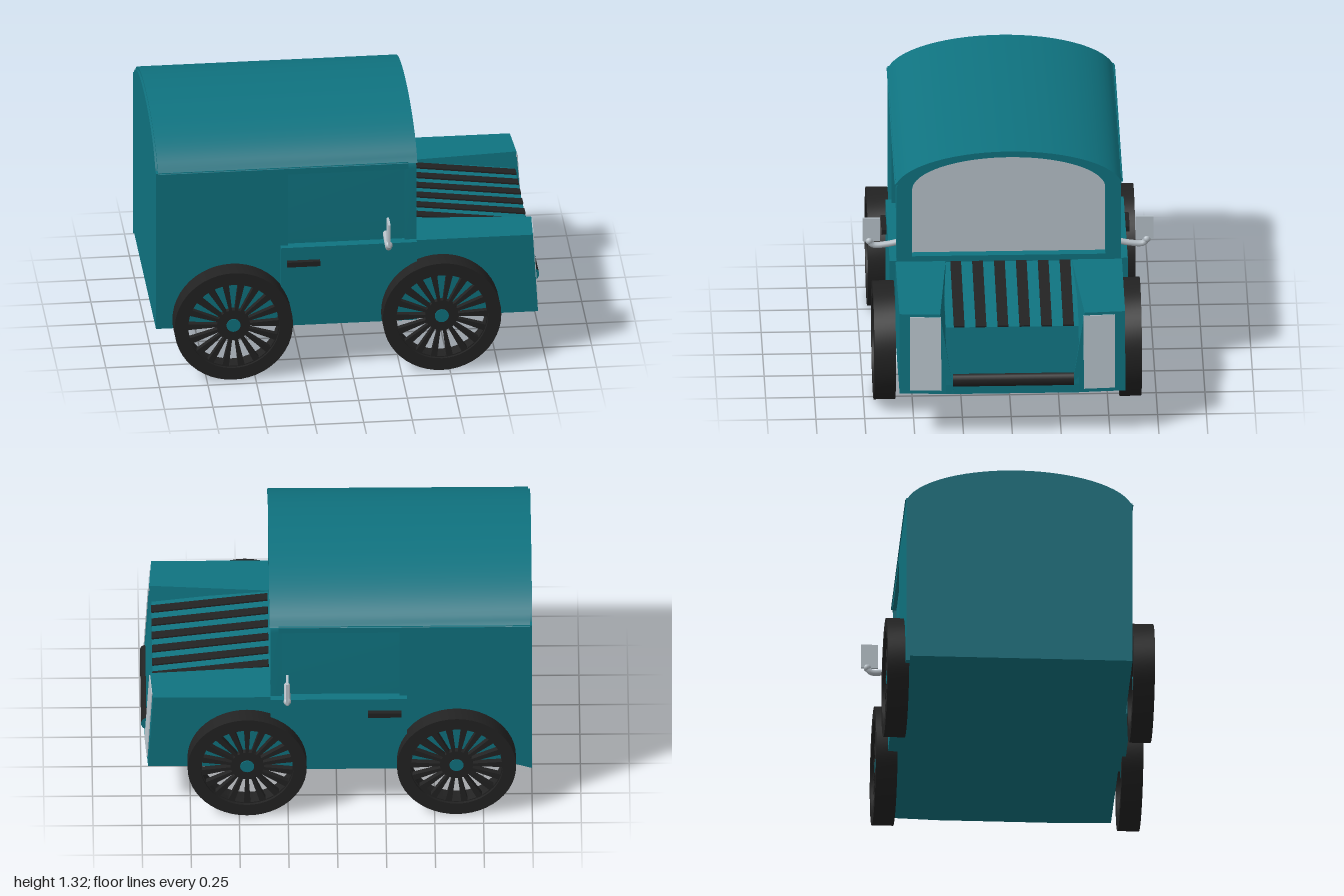
import * as THREE from 'three';
import { toCreasedNormals } from 'three/addons/utils/BufferGeometryUtils.js';
import { ConvexGeometry } from 'three/addons/geometries/ConvexGeometry.js';

export function createModel() {
  const model = new THREE.Group();
  const mat = (name, color) => {
    const m = new THREE.MeshStandardMaterial({ color });
    m.name = name;
    return m;
  };
  const teal = mat('teal paint', 0x0f7380);
  const dark = mat('black rubber', 0x222222);
  const glass = mat('pale glass', 0xb9c4cc);
  const metal = mat('light metal', 0xb4bdc4);

  const add = (name, geometry, material, parent = model) => {
    const mesh = new THREE.Mesh(geometry, material);
    mesh.name = name;
    parent.add(mesh);
    return mesh;
  };
  // Box given by its limits on each axis
  const box = (name, x0, x1, y0, y1, z0, z1, material) => {
    const g = new THREE.BoxGeometry(x1 - x0, y1 - y0, Math.abs(z1 - z0));
    g.translate((x0 + x1) / 2, (y0 + y1) / 2, (z0 + z1) / 2);
    return add(name, g, material);
  };
  // Arch outline: straight sides up to spring, then half an ellipse
  const arch = (Type, half, base, spring, rise) => {
    const s = new Type();
    s.moveTo(-half, base);
    s.lineTo(half, base);
    s.lineTo(half, spring);
    s.absellipse(0, spring, half, rise, 0, Math.PI, false, 0);
    s.closePath();
    return s;
  };
  // Extrude a cross-section along x
  const alongX = (shape, x0, x1) => {
    const g = new THREE.ExtrudeGeometry(shape, { depth: x1 - x0, bevelEnabled: false, curveSegments: 20 });
    g.rotateY(Math.PI / 2).translate(x0, 0, 0);
    return toCreasedNormals(g, 0.5);
  };

  // Cabin core, windscreen frame and glass
  add('cabin', alongX(arch(THREE.Shape, 0.56, 0.25, 1.1, 0.205), -1, 0.285), teal);
  const frame = arch(THREE.Shape, 0.575, 0.25, 1.1, 0.212);
  frame.holes.push(arch(THREE.Path, 0.495, 0.72, 1.1, 0.18));
  add('windscreenFrame', alongX(frame, 0.28, 0.34), teal);
  add('windscreen', alongX(arch(THREE.Shape, 0.5, 0.715, 1.1, 0.182), 0.286, 0.294), glass);

  // Curved roof shell
  const roof = new THREE.Shape();
  roof.moveTo(0.585, 1.135);
  for (let i = 0; i <= 32; i++) {
    const a = Math.PI * i / 32;
    roof.lineTo(0.585 * Math.cos(a), 1.1 + Math.max(0.035, 0.215 * Math.sin(a)));
  }
  for (let i = 32; i >= 0; i--) {
    const a = Math.PI * i / 32;
    roof.lineTo(0.55 * Math.cos(a), 1.1 + Math.max(0.03, 0.19 * Math.sin(a)));
  }
  add('roof', alongX(roof, -0.99, 0.345), teal);

  // Side panels, doors and handles
  for (const s of [1, -1]) {
    box('rearSidePanel', -1, -0.32, 0.25, 1.14, s * 0.54, s * 0.58, teal);
    box('windowHeader', -0.32, 0.3, 1.1, 1.14, s * 0.54, s * 0.58, teal);
    box('lowerDoor', -0.36, 0.34, 0.25, 0.695, s * 0.54, s * 0.61, teal);
    box('doorHandle', -0.33, -0.16, 0.595, 0.622, s * 0.6, s * 0.635, dark);
  }
  // Small lip under the rear corner
  const lip = new THREE.Shape([[-1, 0.26], [-1, 0.225], [-0.92, 0.25], [-0.92, 0.26]]
    .map(p => new THREE.Vector2(...p)));
  add('rearLip', new THREE.ExtrudeGeometry(lip, { depth: 0.02, bevelEnabled: false }).translate(0, 0, -0.58), teal);

  // Sloping bonnet and nose between the wings
  const nose = new THREE.Shape([[0.3, 0.25], [0.982, 0.25], [0.98, 0.3], [0.94, 0.61], [0.34, 0.685], [0.3, 0.685]]
    .map(p => new THREE.Vector2(...p)));
  add('bonnet', new THREE.ExtrudeGeometry(nose, { depth: 0.68, bevelEnabled: false }).translate(0, 0, -0.34), teal);

  // Dark bonnet slats
  for (let i = 0; i < 6; i++) {
    const slat = add('bonnetSlat', new THREE.BoxGeometry(0.6, 0.009, 0.055), dark);
    slat.position.set(0.644, 0.651, 0.272 - i * 0.112);
    slat.rotation.z = -Math.atan2(0.075, 0.6);
  }

  // Front wings with slanted faces, and headlamp plates lying on them
  const faceX = (y, z) => 0.94 + 0.06 * (0.69 - y) + 0.06 * (0.575 - z);
  for (const s of [1, -1]) {
    const front = (y, z, d = 0) => new THREE.Vector3(faceX(y, z) + d, y, s * z);
    const back = (y, z) => new THREE.Vector3(0.3, y, s * z);
    add('frontWing', new ConvexGeometry([
      front(0.69, 0.578), front(0.69, 0.37), front(0.25, 0.3), front(0.25, 0.578),
      back(0.69, 0.58), back(0.69, 0.32), back(0.25, 0.3), back(0.25, 0.58)]), teal);
    const lamp = [];
    for (const y of [0.27, 0.675]) for (const z of [0.365, 0.525]) for (const d of [-0.004, 0.005]) {
      lamp.push(front(y, z, d));
    }
    add('headlamp', new ConvexGeometry(lamp), glass);
  }

  // Rounded bumper bar: dark side, painted ends
  const bar = new THREE.CylinderGeometry(0.035, 0.035, 0.62, 20);
  bar.rotateX(Math.PI / 2).scale(0.8, 1, 1).translate(0.972, 0.325, -0.005);
  add('bumper', bar, [dark, teal, teal]);

  // Wheels: tyre ring, pierced spoke disc and painted hub
  const tyreProfile = [[0.238, -0.05], [0.238, -0.055], [0.305, -0.055], [0.305, 0.055], [0.238, 0.055], [0.238, -0.05]]
    .map(p => new THREE.Vector2(...p));
  const tyre = toCreasedNormals(new THREE.LatheGeometry(tyreProfile, 48).rotateX(Math.PI / 2), 0.5);
  const disc = new THREE.Shape().absarc(0, 0, 0.245, 0, Math.PI * 2, false);
  const count = 18;
  for (let i = 0; i < count; i++) {
    const a = (i + 0.5) / count * Math.PI * 2, c = Math.cos(a), n = Math.sin(a);
    disc.holes.push(new THREE.Path([[0.085, -0.007], [0.085, 0.007], [0.232, 0.024], [0.232, -0.024]]
      .map(([r, t]) => new THREE.Vector2(r * c - t * n, r * n + t * c))));
  }
  const spokes = new THREE.ExtrudeGeometry(disc, { depth: 0.03, bevelEnabled: false, curveSegments: 48 }).translate(0, 0, -0.015);
  const hub = new THREE.CylinderGeometry(0.036, 0.036, 0.09, 20).rotateX(Math.PI / 2);
  for (const s of [1, -1]) for (const x of [-0.612, 0.46]) {
    const wheel = new THREE.Group();
    wheel.name = x < 0 ? 'rearWheel' : 'frontWheel';
    wheel.position.set(x, 0.305, s > 0 ? 0.645 : -0.615);
    add('tyre', tyre, dark, wheel);
    const plate = add('spokes', spokes, dark, wheel);
    plate.position.z = s * 0.025;
    if (s < 0 && x > 0) plate.rotation.z = Math.PI / count;
    add('hub', hub, teal, wheel);
    model.add(wheel);
  }

  // Door mirrors on bent arms
  for (const [s, x, y] of [[1, 0.185, 0.73], [-1, 0.255, 0.755]]) {
    const path = new THREE.CatmullRomCurve3([[0.55, 0.0], [0.62, -0.015], [0.69, -0.018], [0.712, 0.005]]
      .map(([z, h]) => new THREE.Vector3(x, y + h, s * z)));
    add('mirrorArm', new THREE.TubeGeometry(path, 16, 0.016, 10), metal);
    const tip = add('mirrorJoint', new THREE.SphereGeometry(0.02, 12, 8), metal);
    tip.position.set(x, y + 0.005, s * 0.71);
    box('mirrorPlate', x - 0.006, x + 0.006, y + 0.005, y + 0.135, s * 0.655, s * 0.743, glass);
  }
  return model;
}
